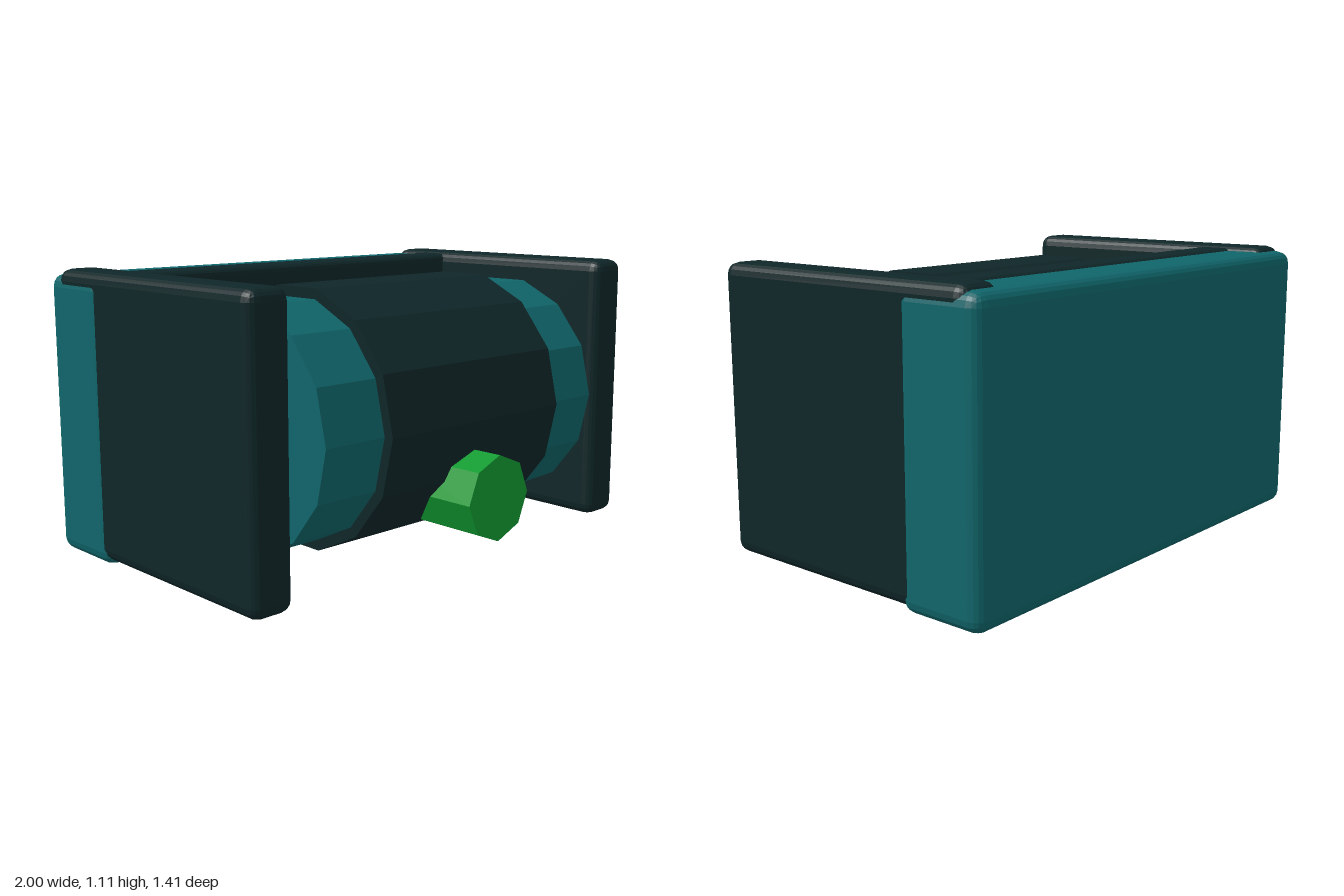
import * as THREE from 'three';
import { RoundedBoxGeometry } from 'three/addons/geometries/RoundedBoxGeometry.js';

const material = (name, color) => {
  const m = new THREE.MeshStandardMaterial({ color, flatShading: true });
  m.name = name;
  return m;
};

export function createModel() {
  const model = new THREE.Group();
  model.name = 'rollerUnit';
  const teal = material('teal', 0x10666b);
  const dark = material('darkSlate', 0x0f2628);
  const green = material('green', 0x109a30);

  const add = (name, geometry, mat) => {
    const mesh = new THREE.Mesh(geometry, mat);
    mesh.name = name;
    model.add(mesh);
    return mesh;
  };

  // Bevelled box given by its minimum and maximum corners
  const block = (name, min, max, radius, mat) => {
    const [w, h, d] = max.map((v, i) => v - min[i]);
    const mesh = add(name, new RoundedBoxGeometry(w, h, d, 2, radius), mat);
    mesh.position.set(...max.map((v, i) => (v + min[i]) / 2));
  };

  // Fourteen-sided drum lying along x
  const drum = (name, radius, width, mat) => {
    const geometry = new THREE.CylinderGeometry(radius, radius, width, 14).rotateZ(Math.PI / 2);
    add(name, geometry, mat).position.set(0, 0.57, 0.11);
  };

  // Housing: teal back shell, dark inner panel and two side panels
  block('backShell', [-1, 0, -0.705], [1, 1.09, -0.35], 0.05, teal);
  block('innerPanel', [-0.97, 0.035, -0.5], [0.97, 1.1, -0.345], 0.03, dark);
  for (const [name, s] of [['leftPanel', 1], ['rightPanel', -1]]) {
    const xs = [0.822 * s, 0.997 * s].sort((a, b) => a - b);
    block(name, [xs[0], 0.02, -0.65], [xs[1], 1.11, 0.525], 0.045, dark);
  }

  // Roller with a wider dark band around its middle
  drum('roller', 0.46, 1.45, teal);
  drum('rollerBand', 0.5, 0.91, dark);

  // Mount joining the roller to the housing
  add('rollerMount', new THREE.BoxGeometry(1.44, 0.52, 0.12), dark).position.set(0, 0.57, -0.33);

  // Eight-sided knob on the front
  const knob = new THREE.CylinderGeometry(0.163, 0.163, 0.405, 8).rotateX(Math.PI / 2);
  add('knob', knob, green).position.set(0, 0.293, 0.5025);

  return model;
}
